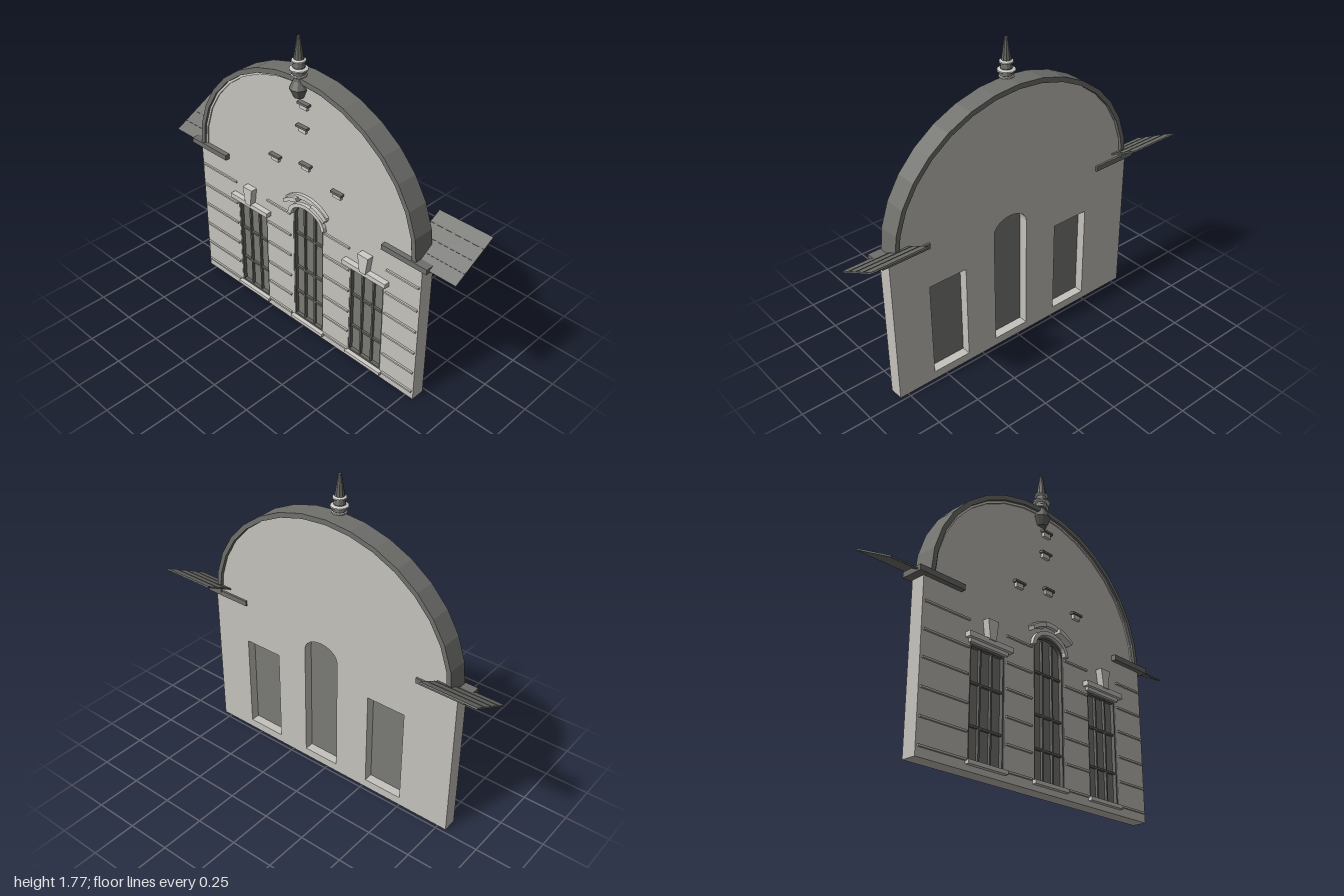
import * as THREE from 'three';

const mat = (name, color) => {
  const m = new THREE.MeshStandardMaterial({ color });
  m.name = name;
  return m;
};

export function createModel() {
  const wallMat = mat('plaster', 0xc6c3bd);
  const trimMat = mat('lightStone', 0xcfcdc8);
  const roofMat = mat('slateRoof', 0x6f6f6c);
  const glassMat = mat('windowGlass', 0x7a7a75);
  const frameMat = mat('darkFrame', 0x646461);
  const root = new THREE.Group();
  root.name = 'gabledFacade';

  const add = (name, geo, m, parent = root) => {
    const mesh = new THREE.Mesh(geo, m);
    mesh.name = name;
    parent.add(mesh);
    return mesh;
  };
  // box given by its limits on each axis
  const box = (name, m, x0, x1, y0, y1, z0, z1, parent) => {
    const g = new THREE.BoxGeometry(x1 - x0, y1 - y0, z1 - z0);
    g.translate((x0 + x1) / 2, (y0 + y1) / 2, (z0 + z1) / 2);
    return add(name, g, m, parent);
  };
  // elliptical arc, running anticlockwise from angle a0 to a1 (degrees)
  const arc = (cx, cy, rx, ry, n, a0 = 0, a1 = 180) =>
    Array.from({ length: n + 1 }, (_, i) => {
      const a = THREE.MathUtils.degToRad(a0 + ((a1 - a0) * i) / n);
      return new THREE.Vector2(cx + rx * Math.cos(a), cy + ry * Math.sin(a));
    });
  const plate = (name, m, pts, z0, z1, holes = [], parent) => {
    const shape = new THREE.Shape(pts);
    holes.forEach((h) => shape.holes.push(new THREE.Path(h)));
    const g = new THREE.ExtrudeGeometry(shape, { depth: z1 - z0, bevelEnabled: false });
    g.translate(0, 0, z0);
    return add(name, g, m, parent);
  };
  const band = (name, m, outer, inner, z0, z1, parent) =>
    plate(name, m, [...outer, ...inner.slice().reverse()], z0, z1, [], parent);
  const V = (x, y) => new THREE.Vector2(x, y);

  // window outlines, shared by the wall openings, the frames and the glass
  const rectWindow = (cx, i = 0) => [
    V(cx - 0.115 + i, 0.05 + i), V(cx + 0.115 - i, 0.05 + i),
    V(cx + 0.115 - i, 0.615 - i), V(cx - 0.115 + i, 0.615 - i)];
  const archX = 0.045;
  const archWindow = (i = 0) => [
    V(archX - 0.11 + i, 0.05 + i), V(archX + 0.11 - i, 0.05 + i),
    ...arc(archX, 0.74, 0.11 - i, 0.08 - i, 12)];
  const sideX = [-0.385, 0.46];

  // walls
  plate('wall', wallMat, [V(-0.8, 0), V(0.8, 0), V(0.8, 0.86), V(-0.8, 0.86)], 0.02, 0.1,
    [rectWindow(sideX[0]), rectWindow(sideX[1]), archWindow()]);
  plate('gableWall', wallMat, arc(0, 0.86, 0.75, 0.68, 16), 0.016, 0.1);

  // arched roof and its inner moulding
  band('archedRoof', roofMat, arc(0, 0.875, 0.775, 0.69, 16), arc(0, 0.875, 0.75, 0.662, 16), 0, 0.12);
  band('archMoulding', trimMat, arc(0, 0.875, 0.752, 0.664, 16), arc(0, 0.875, 0.738, 0.65, 16), 0.09, 0.107);

  // eaves and sloping side roofs
  for (const s of [-1, 1]) {
    box('eave', roofMat, s < 0 ? -0.845 : 0.565, s < 0 ? -0.565 : 0.845, 0.856, 0.886, 0.005, 0.128);
    const roof = new THREE.Group();
    roof.name = 'sideRoof';
    roof.position.set(s * 0.843, 0.936, -0.0225);
    roof.rotation.x = Math.atan2(0.14, 0.265);
    root.add(roof);
    box('roofSlab', roofMat, -0.157, 0.157, -0.004, 0.004, -0.148, 0.148, roof);
    for (const z of [-0.075, 0, 0.075])
      box('roofSeam', frameMat, -0.157, 0.157, 0.003, 0.006, z - 0.003, z + 0.003, roof);
  }

  // glazing: pane, frame and bars
  const glaze = (name, cx, hw, outline, inset, top, rows) => {
    const g = new THREE.Group();
    g.name = name;
    root.add(g);
    plate('pane', glassMat, outline, 0.072, 0.078, [], g);
    plate('frame', frameMat, outline, 0.075, 0.098, [inset], g);
    for (const x of [cx - hw / 3, cx + hw / 3])
      box('verticalBar', frameMat, x - 0.005, x + 0.005, 0.055, top, 0.076, 0.092, g);
    for (const y of rows)
      box('crossBar', frameMat, cx - hw, cx + hw, y - 0.006, y + 0.006, 0.076, 0.09, g);
    box('sill', trimMat, cx - hw - 0.013, cx + hw + 0.013, 0.03, 0.05, 0.095, 0.122, g);
    return g;
  };
  for (const cx of sideX) {
    const g = glaze('sideWindow', cx, 0.112, rectWindow(cx), rectWindow(cx, 0.01), 0.61, [0.22, 0.43]);
    box('lintelBase', trimMat, cx - 0.125, cx + 0.125, 0.617, 0.637, 0.095, 0.115, g);
    box('lintel', trimMat, cx - 0.145, cx + 0.145, 0.635, 0.662, 0.095, 0.132, g);
    plate('keystone', trimMat, [V(cx - 0.02, 0.655), V(cx + 0.02, 0.655),
      V(cx + 0.035, 0.76), V(cx - 0.035, 0.76)], 0.095, 0.138, [], g);
  }
  const mid = glaze('archedWindow', archX, 0.108, archWindow(), archWindow(0.01), 0.79, [0.216, 0.39, 0.615]);

  // arched surround and broken pediment above the middle window
  band('archSurround', trimMat, arc(archX, 0.745, 0.133, 0.1, 12), arc(archX, 0.745, 0.11, 0.078, 12), 0.095, 0.12, mid);
  band('pedimentArc', trimMat, arc(archX, 0.72, 0.2, 0.18, 10, 42, 138), arc(archX, 0.72, 0.185, 0.155, 10, 42, 138), 0.095, 0.118, mid);
  for (const a of [42, 105])
    band('pedimentPiece', trimMat, arc(archX, 0.72, 0.2, 0.165, 4, a, a + 33),
      arc(archX, 0.72, 0.19, 0.14, 4, a, a + 33), 0.095, 0.138, mid);

  // horizontal courses between the windows
  for (const y of [0.05, 0.18, 0.315, 0.455, 0.59, 0.73])
    for (const [x0, x1] of [[-0.79, -0.51], [-0.26, -0.083], [0.163, 0.342], [0.588, 0.79]])
      box('course', wallMat, x0, x1, y - 0.005, y + 0.005, 0.098, 0.11);

  // small brackets on the gable
  for (const [x, y] of [[0.03, 1.425], [0.02, 1.293], [0.04, 1.083], [-0.18, 1.043], [0.258, 1.018]]) {
    box('bracketCap', roofMat, x - 0.037, x + 0.037, y, y + 0.012, 0.098, 0.124);
    box('bracket', trimMat, x - 0.025, x + 0.025, y - 0.024, y, 0.098, 0.116);
  }

  // faceted finial with pale rings
  const turned = (name, m, profile) => {
    const g = new THREE.LatheGeometry(profile.map(([r, y]) => V(r, y)), 10).toNonIndexed();
    g.computeVertexNormals();
    g.translate(-0.006, 0, 0.105);
    add(name, g, m);
  };
  turned('finial', frameMat, [[0, 1.455], [0.028, 1.456], [0.05, 1.505], [0.03, 1.545], [0.026, 1.56],
    [0.036, 1.58], [0.03, 1.6], [0.032, 1.62], [0.026, 1.64], [0.026, 1.66], [0.009, 1.772], [0, 1.775]]);
  for (const [r, y] of [[0.04, 1.573], [0.048, 1.604], [0.037, 1.648]])
    turned('finialRing', trimMat, [[0.02, y - 0.008], [r, y - 0.004], [r, y + 0.003], [0.02, y + 0.012]]);

  return root;
}
